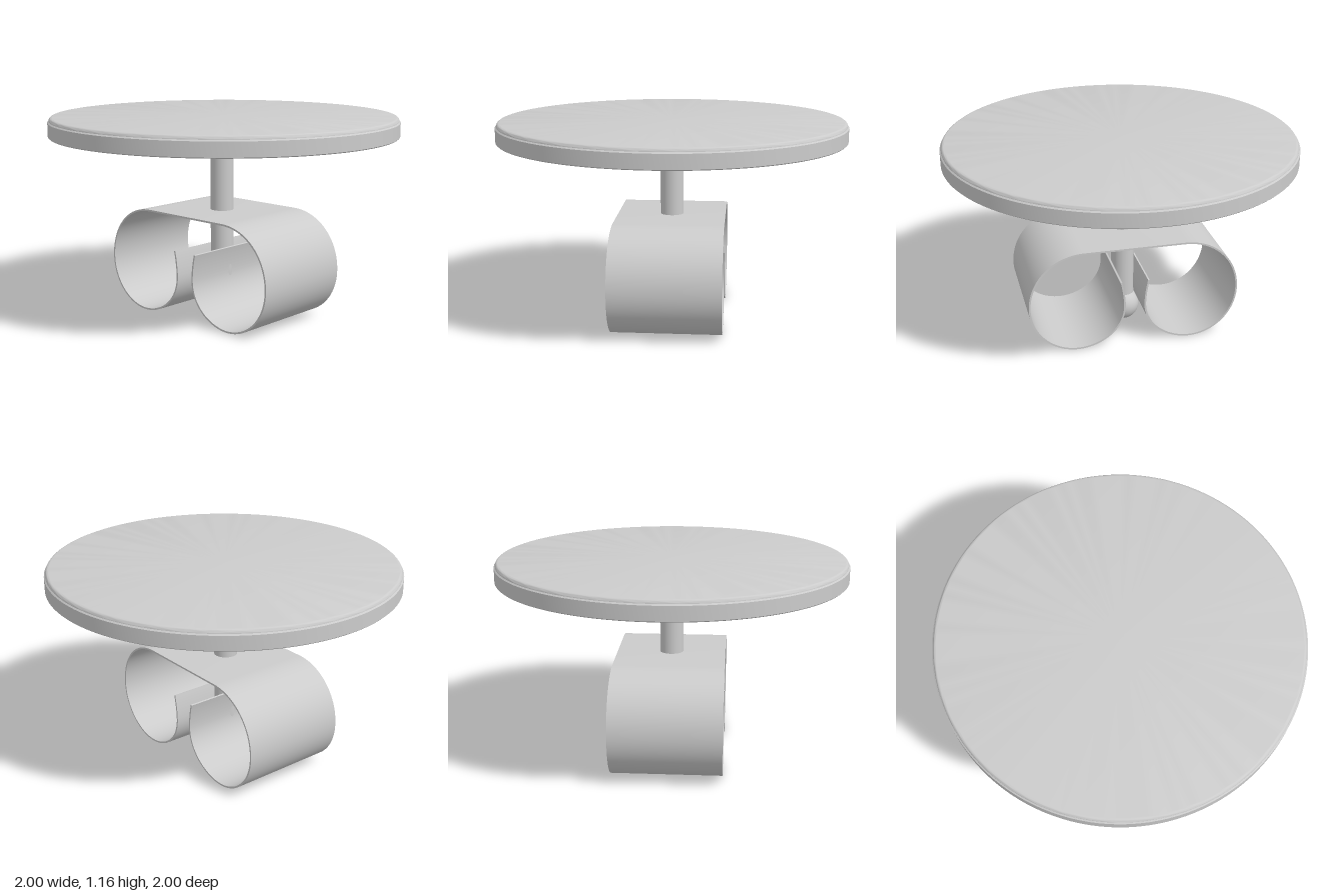
import * as THREE from 'three';
import { toCreasedNormals } from 'three/addons/utils/BufferGeometryUtils.js';

const v = (x, y) => new THREE.Vector2(x, y);

export function createModel() {
  const group = new THREE.Group();
  const material = new THREE.MeshStandardMaterial({ color: 0xcccccc, side: THREE.DoubleSide });
  const add = (name, geometry, x, y, z = 0) => {
    const mesh = new THREE.Mesh(geometry, material);
    mesh.name = name;
    mesh.position.set(x, y, z);
    group.add(mesh);
  };
  const baseX = -0.015; // the base sits slightly off the top's centre

  // Round top with softly rounded upper rim
  const profile = [v(0, 1.055), v(0.995, 1.055), v(1, 1.06), v(1, 1.138)];
  for (let i = 0; i <= 6; i++) {
    const a = (i / 6) * Math.PI / 2;
    profile.push(v(0.973 + 0.02 * Math.cos(a), 1.145 + 0.02 * Math.sin(a)));
  }
  profile.push(v(0, 1.165));
  add('tableTop', toCreasedNormals(new THREE.LatheGeometry(profile, 128), 0.6), 0, 0);

  // Central pole and ball foot
  add('pole', new THREE.CylinderGeometry(0.067, 0.067, 0.89, 48), baseX, 0.18 + 0.445);
  add('ballFoot', new THREE.SphereGeometry(0.097, 48, 32), baseX, 0.097);

  // Centre line of one half of the curled band, from the middle of its top to its inner tip
  const half = new THREE.Path();
  half.moveTo(0, 0.607);
  half.lineTo(0.29, 0.607);
  half.bezierCurveTo(0.47, 0.607, 0.607, 0.47, 0.607, 0.29);
  half.bezierCurveTo(0.607, 0.13, 0.48, 0.006, 0.33, 0.006);
  half.bezierCurveTo(0.2, 0.006, 0.06, 0.1, 0.06, 0.25);
  half.bezierCurveTo(0.06, 0.3, 0.07, 0.36, 0.08, 0.4);
  const right = half.getPoints(24);
  const line = [...right.slice(1).reverse().map((p) => v(-p.x, p.y)), ...right.slice(1)];

  // Thicken the mirrored line and extrude it across the depth
  const offset = (d) => line.map((p, i) => {
    const a = line[Math.max(i - 1, 0)];
    const b = line[Math.min(i + 1, line.length - 1)];
    const t = b.clone().sub(a).normalize();
    return v(p.x - t.y * d, p.y + t.x * d);
  });
  const band = new THREE.Shape([...offset(0.005), ...offset(-0.005).reverse()]);
  const depth = 0.626;
  const bandGeometry = new THREE.ExtrudeGeometry(band, { depth, bevelEnabled: false });
  add('curledBand', toCreasedNormals(bandGeometry, 0.6), baseX, 0, -depth / 2);

  return group;
}
